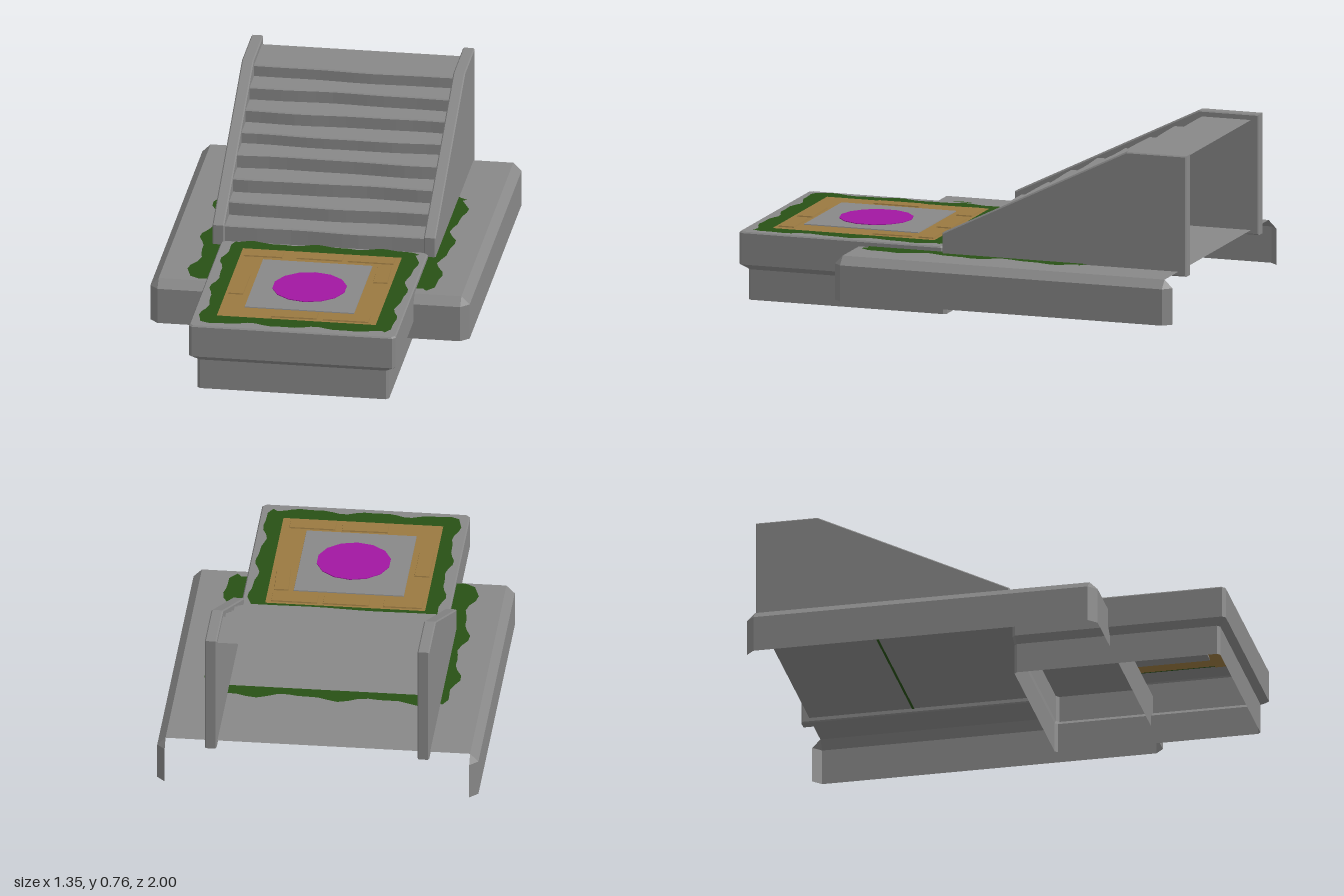
import * as THREE from 'three';

const mat = (color) => new THREE.MeshStandardMaterial({ color, flatShading: true, side: THREE.DoubleSide });
const V = (x, y, z) => new THREE.Vector3(x, y, z);

// Flat-shaded surface through rows of points (each row runs left to right)
function loft(rows, closed = false) {
  const out = [];
  for (let r = 0; r + 1 < rows.length; r++) {
    const n = rows[r].length;
    for (let i = 0; i < (closed ? n : n - 1); i++) {
      const j = (i + 1) % n;
      const a = rows[r][i], b = rows[r][j], c = rows[r + 1][j], d = rows[r + 1][i];
      for (const p of [a, b, c, a, c, d]) out.push(p.x, p.y, p.z);
    }
  }
  const g = new THREE.BufferGeometry();
  g.setAttribute('position', new THREE.Float32BufferAttribute(out, 3));
  g.computeVertexNormals();
  return g;
}

// Rectangle in plan with cut corners, at height y
function cutRect(x0, x1, z0, z1, cut, y) {
  return [[x0 + cut, z1], [x1 - cut, z1], [x1, z1 - cut], [x1, z0 + cut],
    [x1 - cut, z0], [x0 + cut, z0], [x0, z0 + cut], [x0, z1 - cut]].map(([x, z]) => V(x, y, z));
}

// Rectangle as 2D points (x, -z), with optional wavy edges
function outline(x0, x1, z0, z1, wave = 0, steps = 1) {
  const corners = [[x0, z1], [x1, z1], [x1, z0], [x0, z0]];
  const pts = [];
  corners.forEach(([ax, az], k) => {
    const [bx, bz] = corners[(k + 1) % 4];
    for (let i = 0; i < steps; i++) {
      const t = i / steps, s = k * steps + i;
      const w = wave * (Math.sin(s * 0.75) + 0.5 * Math.sin(s * 1.55 + 1) - (i === 0 ? 1 : 0));
      const nx = [0, 1, 0, -1][k], nz = [1, 0, -1, 0][k];
      pts.push(new THREE.Vector2(ax + (bx - ax) * t + nx * w, -(az + (bz - az) * t + nz * w)));
    }
  });
  return pts;
}

// Flat sheet facing up, optionally with a hole
function sheet(outer, hole, y) {
  const shape = new THREE.Shape(outer);
  if (hole) shape.holes.push(new THREE.Path(hole));
  return new THREE.ShapeGeometry(shape).rotateX(-Math.PI / 2).translate(0, y, 0);
}

// Low block whose top is smaller than its base by an inset
function paver(w, h, d, inset) {
  const g = new THREE.BoxGeometry(w, h, d);
  const p = g.attributes.position;
  for (let i = 0; i < p.count; i++) {
    if (p.getY(i) < 0) continue;
    p.setX(i, p.getX(i) - Math.sign(p.getX(i)) * inset);
    p.setZ(i, p.getZ(i) - Math.sign(p.getZ(i)) * inset);
  }
  g.computeVertexNormals();
  return g;
}

export function createModel() {
  const model = new THREE.Group();
  const stone = mat(0x888888), moss = mat(0x285115), ochre = mat(0x9a7941), violet = mat(0xa217a2);
  const add = (name, geometry, material, parent = model) => {
    const m = new THREE.Mesh(geometry, material);
    m.name = name;
    parent.add(m);
    return m;
  };

  // Wide foundation: bevelled shell, open below and at the back
  const wall = (y) => [[-0.64, -1], [-0.675, -0.965], [-0.675, 0.465], [-0.64, 0.5],
    [0.64, 0.5], [0.675, 0.465], [0.675, -0.965], [0.64, -1]].map(([x, z]) => V(x, y, z));
  const [bl, fl, fr, br] = [[-0.64, -0.965], [-0.64, 0.465], [0.64, 0.465], [0.64, -0.965]]
    .map(([x, z]) => V(x, 0.27, z));
  add('foundationWalls', loft([wall(0.08), wall(0.235), [bl, bl, fl, fl, fr, fr, br, br]]), stone);
  add('foundationTop', loft([[fl, fr], [bl, br]]), stone);

  // Moss spreading around the foot of the stairs, with a seam showing below
  add('foundationMoss', sheet(outline(-0.512, 0.512, -0.57, 0.44, 0.017, 24),
    outline(-0.43, 0.43, -0.5, 0.1), 0.274), moss);
  add('mossSeam', sheet(outline(-0.43, 0.43, -0.525, -0.515), null, 0.267), moss);

  // Stair flight: folded sheet with worn, slightly wavy edges
  const heights = [0.35, 0.41, 0.47, 0.53, 0.58, 0.635, 0.69, 0.74];
  const run = 0.114, bevel = 0.005;
  const profile = [[0.06, 0.27, 0]];
  heights.forEach((y, k) => {
    const z = 0.06 - k * run;
    profile.push([z, y - bevel, k], [z - bevel, y, k]);
    if (k < heights.length - 1) profile.push([z - run, y, k + 1]);
  });
  profile.push([-0.965, 0.74, -1]);
  const rows = profile.map(([z, y, k]) => {
    const row = [];
    for (let i = 0; i <= 12; i++) {
      const x = -0.43 + 0.86 * i / 12;
      const w = k < 0 ? 0 : 0.005 * Math.sin(x * 7 + k * 1.9) + 0.002 * Math.sin(x * 17 + k);
      row.push(V(x, y, z + w));
    }
    return row;
  });
  add('stairFlight', loft(rows), stone);

  // Sloping side parapets
  const side = new THREE.Shape([[-0.085, 0.25], [1, 0.25], [1, 0.765], [0.735, 0.765], [-0.085, 0.36]]
    .map(([u, v]) => new THREE.Vector2(u, v)));
  for (const s of [-1, 1]) {
    const b = 0.005;
    const g = new THREE.ExtrudeGeometry(side, {
      depth: 0.05 - 2 * b, bevelEnabled: true, bevelSize: b, bevelOffset: -b, bevelThickness: b, bevelSegments: 1,
    });
    g.translate(0, 0, -0.025 + b).rotateY(Math.PI / 2);
    add(s > 0 ? 'leftParapet' : 'rightParapet', g, stone).position.x = s * 0.447;
  }

  // Front platform: narrow plinth flaring into an overhanging slab
  const platform = new THREE.Group();
  platform.name = 'platform';
  model.add(platform);
  add('platformBody', loft([
    cutRect(-0.4, 0.41, 0.09, 0.97, 0.012, 0),
    cutRect(-0.4, 0.41, 0.09, 0.97, 0.012, 0.13),
    cutRect(-0.432, 0.442, 0.088, 1, 0.013, 0.155),
    cutRect(-0.432, 0.442, 0.088, 1, 0.013, 0.289),
    cutRect(-0.427, 0.437, 0.093, 0.995, 0.013, 0.295),
  ], true), stone, platform);
  const lid = cutRect(-0.427, 0.437, 0.093, 0.995, 0.013, 0).map((p) => new THREE.Vector2(p.x, -p.z));
  const inlayEdge = outline(-0.33, 0.342, 0.165, 0.885);
  add('platformTop', sheet(lid, inlayEdge, 0.295), stone, platform);
  add('platformMoss', sheet(outline(-0.39, 0.408, 0.1, 0.957, 0.011, 24), inlayEdge, 0.298), moss, platform);

  // Ochre inlay with raised paving blocks: x, z, width, depth, turn
  add('inlay', sheet(inlayEdge, null, 0.298), ochre, platform);
  const blocks = [
    [-0.233, 0.213, 0.175, 0.08, 0.01], [0.005, 0.211, 0.205, 0.078, 0], [0.222, 0.212, 0.205, 0.078, 0],
    [0.29, 0.362, 0.072, 0.185, 0.05], [-0.286, 0.55, 0.075, 0.215, 0],
    [-0.008, 0.834, 0.205, 0.08, 0.02], [0.212, 0.836, 0.205, 0.08, 0],
  ];
  for (const [x, z, w, d, turn] of blocks) {
    const m = add('pavingBlock', paver(w, 0.024, d, 0.007), ochre, platform);
    m.position.set(x, 0.291, z);
    m.rotation.y = turn;
  }

  // Centre plate and violet disc
  add('centrePlate', paver(0.475, 0.024, 0.52, 0.007), stone, platform).position.set(0.003, 0.29, 0.53);
  add('disc', new THREE.CylinderGeometry(0.156, 0.156, 0.004, 14), violet, platform).position.set(0.01, 0.303, 0.543);

  return model;
}
